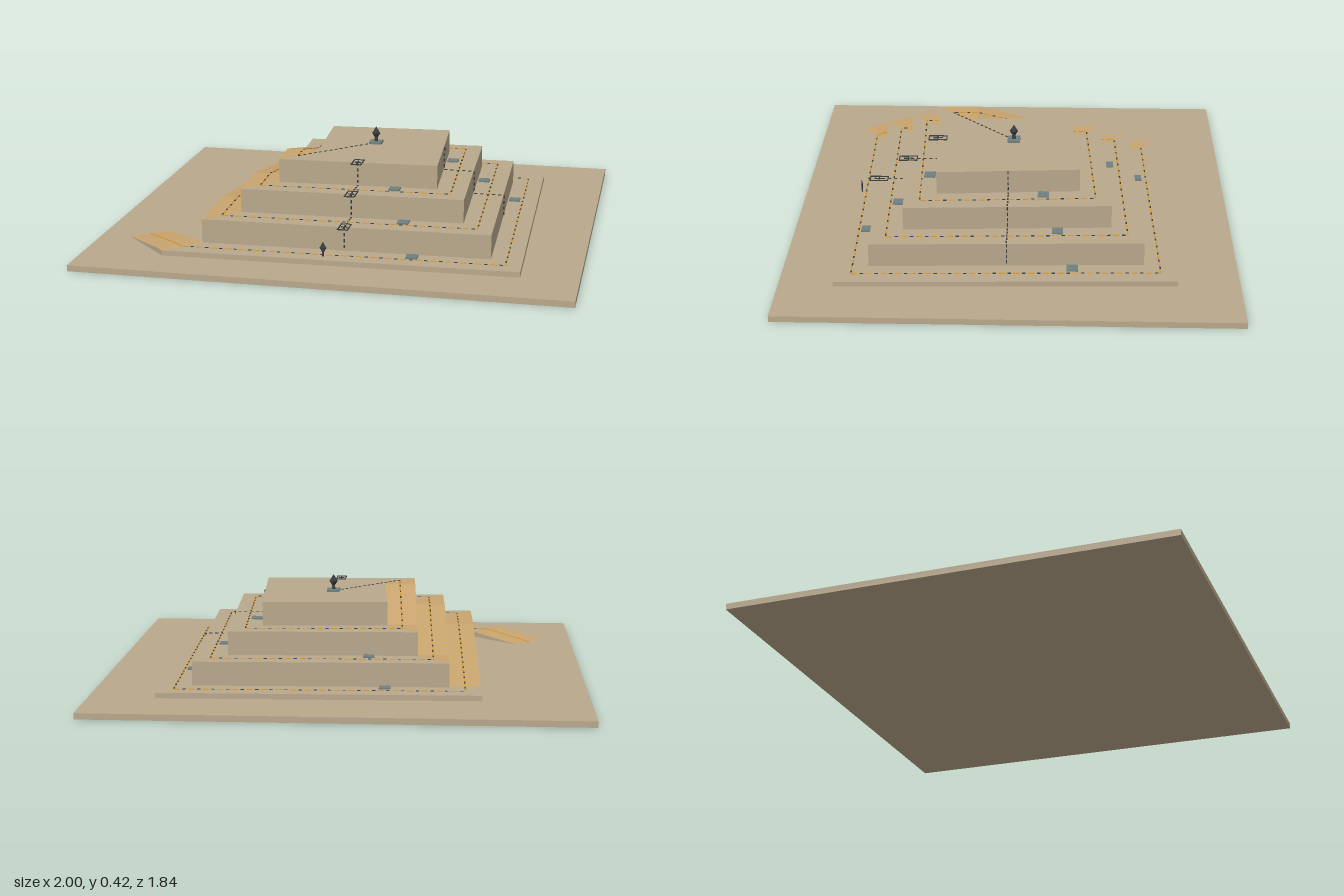
import * as THREE from 'three';
import { mergeGeometries } from 'three/addons/utils/BufferGeometryUtils.js';

const mat = (name, color, side = THREE.FrontSide) =>
  Object.assign(new THREE.MeshStandardMaterial({ color, side, flatShading: true }), { name });

export function createModel() {
  const model = new THREE.Group();
  const stone = mat('sandstone', 0xb9a88c);
  const rampTop = mat('ochre ramp', 0xc9a56f);
  const amber = mat('amber line', 0xd69a2e);
  const dark = mat('dark line', 0x3b3f40);
  const slate = mat('slate plate', 0x6f7f80);
  const add = (name, geo, material, x = 0, y = 0, z = 0) => {
    const m = new THREE.Mesh(geo, material);
    m.name = name;
    m.position.set(x, y, z);
    model.add(m);
    return m;
  };

  // Ground slab
  const ground = 0.025;
  add('groundSlab', new THREE.BoxGeometry(2, ground, 1.84), stone, 0, ground / 2, 0);

  // Tier corners as [x, z]: back -x, back +x, front +x, front -x; each tier steps in by 0.13
  const heights = [0.047, 0.146, 0.245, 0.344];
  const first = [[-0.57, -0.64], [0.73, -0.67], [0.77, 0.7], [-0.67, 0.73]];
  const inward = [[1, 1], [-1, 1], [-1, -1], [1, -1]];
  const corner = (tier, c) => first[c].map((v, a) => v + inward[c][a] * 0.13 * tier);
  const mid = (a, b) => a.map((v, i) => (v + b[i]) / 2);
  const V = ([x, z], y) => new THREE.Vector3(x, y, z);

  // Stepped tiers, notched at the front corner where each ramp arrives
  heights.forEach((top, k) => {
    const floor = k ? heights[k - 1] : ground;
    const outline = [0, 1, 2, 3].map(c => corner(k, c)).concat([corner(k + 1, 3)]);
    const shape = new THREE.Shape(outline.map(([x, z]) => new THREE.Vector2(x, -z)));
    const geo = new THREE.ExtrudeGeometry(shape, { depth: top - floor, bevelEnabled: false });
    geo.rotateX(-Math.PI / 2);
    add('tier' + (k + 1), geo, stone, 0, floor, 0);
  });

  // Solid ramp through cross-sections { o: outer, i: inner, y }, ochre on top, stone on the sides
  function ramp(name, sections, floor) {
    const tops = [], walls = [];
    const quad = (list, a, b, c, d) => [a, b, c, a, c, d].forEach(p => list.push(p.x, p.y, p.z));
    for (let n = 0; n < sections.length - 1; n++) {
      const s = sections[n], e = sections[n + 1];
      quad(tops, V(s.o, s.y), V(e.o, e.y), V(e.i, e.y), V(s.i, s.y));
      quad(walls, V(s.o, floor), V(e.o, floor), V(e.o, e.y), V(s.o, s.y));
      quad(walls, V(e.i, floor), V(s.i, floor), V(s.i, s.y), V(e.i, e.y));
    }
    const geo = new THREE.BufferGeometry();
    geo.setAttribute('position', new THREE.Float32BufferAttribute([...tops, ...walls], 3));
    geo.addGroup(0, tops.length / 3, 0);
    geo.addGroup(tops.length / 3, walls.length / 3, 1);
    geo.computeVertexNormals();
    add(name, geo, [rampTop, stone]);
    return sections.map(s => V(mid(s.o, s.i), s.y));
  }

  const entry = ramp('entryRamp', [
    { o: [-0.87, 0.53], i: [-0.74, 0.42], y: ground + 0.002 },
    { o: [-0.7, 0.7], i: [-0.57, 0.57], y: heights[0] },
    { o: corner(0, 3), i: corner(1, 3), y: heights[0] },
  ], ground);

  // Three side ramps: short landing, slope, long landing
  const climbs = [0, 1, 2].map(k => {
    const o0 = corner(k, 0), i0 = corner(k + 1, 0), o1 = corner(k + 1, 3), i1 = corner(k + 2, 3);
    const at = (a, b, z) => [a[0] + (b[0] - a[0]) * (z - a[1]) / (b[1] - a[1]), z];
    const low = heights[k], high = heights[k + 1];
    const section = (z, y) => ({ o: at(o0, o1, z), i: at(i0, i1, z), y });
    return ramp('sideRamp' + (k + 1), [
      { o: o0, i: i0, y: low }, section(i0[1] + 0.02, low),
      section(0.27 - 0.05 * k, high), { o: o1, i: i1, y: high },
    ], low);
  });

  // Dashed strip along a path; materials cycle from dash to dash
  function dashes(name, path, pattern, width = 0.006) {
    const parts = pattern.map(() => []);
    for (let n = 0; n < path.length - 1; n++) {
      const a = path[n], b = path[n + 1], total = a.distanceTo(b);
      const period = pattern.reduce((s, p) => s + p.dash + p.gap, 0);
      const count = Math.max(1, Math.round(total / period)), scale = total / (count * period);
      const dummy = new THREE.Object3D();
      dummy.position.copy(a);
      dummy.lookAt(b);
      const dir = b.clone().sub(a).normalize();
      let d = 0;
      for (let r = 0; r < count; r++) pattern.forEach((p, j) => {
        const len = p.dash * scale;
        dummy.position.copy(a).addScaledVector(dir, d + len / 2);
        dummy.updateMatrix();
        parts[j].push(new THREE.BoxGeometry(width, 0.004, len).applyMatrix4(dummy.matrix));
        d += len + p.gap * scale;
      });
    }
    parts.forEach((list, j) => add(name, mergeGeometries(list), pattern[j].material));
  }
  const routePattern = [
    { dash: 0.026, gap: 0.01, material: amber },
    { dash: 0.014, gap: 0.01, material: dark },
  ];
  const dotted = [{ dash: 0.014, gap: 0.012, material: dark }];

  // Spiral route: round each bench, then up its ramp
  dashes('entryLine', entry, [{ dash: 0.05, gap: 0, material: amber }]);
  climbs.forEach((climb, k) => {
    const bench = [3, 2, 1, 0].map(c => V(mid(corner(k, c), corner(k + 1, c)), heights[k]));
    dashes('routeLine' + (k + 1), [...bench, ...climb.slice(1)], routePattern);
  });
  dashes('summitLine', [climbs[2][3], new THREE.Vector3(0.04, heights[3], 0.02)], dotted, 0.005);

  // Stepped lines down the front and the +x side
  const frontEdge = [0.585, 0.455, 0.325], sideEdge = [0.623, 0.493, 0.363];
  const stepPath = place => {
    const path = [];
    for (let k = 3; k > 0; k--) path.push(place(k, heights[k]), place(k, heights[k - 1]));
    return path;
  };
  dashes('frontStepLine', stepPath((k, y) => new THREE.Vector3(0.05, y, frontEdge[k - 1])), dotted);
  dashes('sideStepLine', stepPath((k, y) => new THREE.Vector3(sideEdge[k - 1], y, 0.015)), dotted);

  // Small open frames at the head of each front step
  frontEdge.forEach((z, n) => {
    const bar = (w, d, x, dz) => new THREE.BoxGeometry(w, 0.004, d).translate(x, 0, dz);
    add('stepFrame', mergeGeometries([
      bar(0.004, 0.08, -0.02, 0), bar(0.004, 0.08, 0.02, 0), bar(0.004, 0.04, 0, 0),
      bar(0.04, 0.004, 0, -0.038), bar(0.04, 0.004, 0, 0.038), bar(0.026, 0.004, 0, 0),
    ]), dark, 0.05, heights[n + 1] + 0.001, z);
  });

  // Square plates on the benches: [x, z, tier]
  [[-0.18, -0.54, 0], [-0.11, -0.41, 1], [0.64, -0.25, 0], [0.51, -0.19, 1],
    [0.38, -0.13, 2], [0.33, 0.61, 0], [0.27, 0.48, 1], [0.21, 0.35, 2]].forEach(([x, z, t]) =>
    add('benchPlate', new THREE.BoxGeometry(0.046, 0.006, 0.046), slate, x, heights[t] + 0.003, z));

  // Summit plinth with a faceted finial
  const top = heights[3];
  add('summitPlinth', new THREE.BoxGeometry(0.054, 0.009, 0.054), slate, 0.063, top + 0.0045, 0);
  add('finialStem', new THREE.CylinderGeometry(0.006, 0.009, 0.025, 6), dark, 0.063, top + 0.02, 0);
  add('finial', new THREE.OctahedronGeometry(1), dark, 0.063, 0.388, 0).scale.set(0.018, 0.029, 0.018);

  // Flat marker standing on the front bench
  add('markerStem', new THREE.BoxGeometry(0.006, 0.03, 0.005), dark, -0.018, 0.062, 0.67);
  add('marker', new THREE.OctahedronGeometry(1), dark, -0.018, 0.083, 0.67).scale.set(0.014, 0.026, 0.004);

  return model;
}
